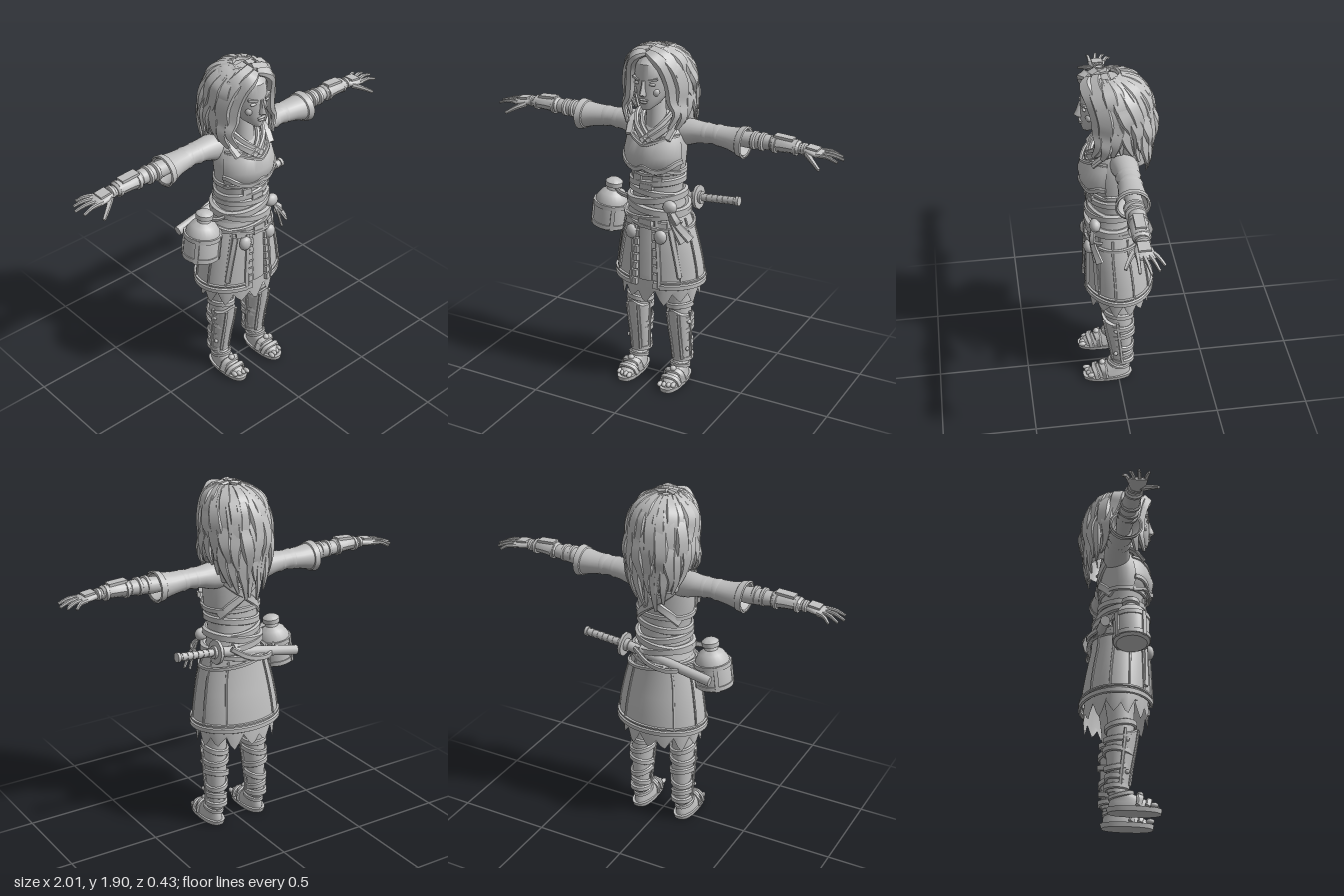
import * as THREE from 'three';
import { toCreasedNormals } from 'three/addons/utils/BufferGeometryUtils.js';

const stone = new THREE.MeshStandardMaterial({ color: 0xc0c0c0, side: THREE.DoubleSide });
stone.name = 'grey stone';
const V = (x, y, z) => new THREE.Vector3(x, y, z);
const TAU = Math.PI * 2;

// Joins rows of points into one creased surface
function skin(rows, crease = 0.7) {
  const n = rows[0].length, pos = [], idx = [];
  rows.forEach(r => r.forEach(p => pos.push(p.x, p.y, p.z)));
  for (let i = 0; i < rows.length - 1; i++) for (let j = 0; j < n - 1; j++) {
    const a = i * n + j, b = a + 1, c = a + n, d = c + 1;
    idx.push(a, b, d, a, d, c);
  }
  const g = new THREE.BufferGeometry();
  g.setAttribute('position', new THREE.Float32BufferAttribute(pos, 3));
  g.setIndex(idx);
  return toCreasedNormals(g, crease);
}
// A ring is [y, rx, rz, x, z]; angle 0 is the front
function ringPoint([y, rx, rz, x = 0, z = 0], a, p = 1, off = 0) {
  const f = v => Math.sign(v) * Math.abs(v) ** p;
  return V(x + (rx + off) * f(Math.sin(a)), y, z + (rz + off) * f(Math.cos(a)));
}
function loft(rings, { n = 24, a0 = 0, a1 = TAU, p = 1, cap = a1 - a0 > 6.2, fn } = {}) {
  const rows = rings.map((r, i) => Array.from({ length: n + 1 }, (_, j) => {
    const q = ringPoint(r, a0 + (a1 - a0) * j / n, p);
    if (fn) fn(q, i, j);
    return q;
  }));
  if (cap) {
    const mid = r => rows[0].map(() => V(r[3] || 0, r[0], r[4] || 0));
    rows.unshift(mid(rings[0]));
    rows.push(mid(rings[rings.length - 1]));
  }
  return skin(rows);
}
// Shell with thickness over part of a turn
const plate = (rings, a, t, fn) => loft([...rings,
  ...rings.map(([y, rx, rz, x, z]) => [y, rx - t, rz - t, x, z]).reverse(), rings[0]], { a0: -a, a1: a, n: 18, fn });
// Point on a lofted body at any angle and height
function on(rings, a, y, off = 0) {
  let i = 0;
  while (i < rings.length - 2 && y > rings[i + 1][0]) i++;
  const A = rings[i], B = rings[i + 1], t = THREE.MathUtils.clamp((y - A[0]) / (B[0] - A[0]), 0, 1);
  const r = [0, 1, 2, 3, 4].map(k => (A[k] || 0) * (1 - t) + (B[k] || 0) * t);
  r[0] = y;
  return ringPoint(r, a, 1, off);
}
// Flattened band along a path, lying on the body
function ribbon(pts, w, t, { scale = () => 1, cx = 0, cz = 0, up, steps = 0, closed = false } = {}) {
  const curve = new THREE.CatmullRomCurve3(pts, closed), N = steps || pts.length * 3;
  const rows = [];
  for (let i = 0; i <= N; i++) {
    const u = i / N, p = curve.getPoint(u), tan = curve.getTangent(u);
    const out = up ? up.clone() : V(p.x - cx, Math.max(0, p.y - 1.7) * 1.3, p.z - cz);
    const side = tan.clone().cross(out).normalize();
    out.crossVectors(side, tan).normalize();
    const k = scale(u);
    const row = [[1, 0], [.7, 1], [-.7, 1], [-1, 0], [-.7, -1], [.7, -1], [1, 0]].map(([s, o]) =>
      p.clone().addScaledVector(side, s * k * w / 2).addScaledVector(out, o * k * t / 2));
    if (!closed && i === 0) rows.push(row.map(() => p.clone()));
    rows.push(row);
    if (!closed && i === N) rows.push(row.map(() => p.clone()));
  }
  return skin(rows, 0.6);
}
// Belt round a body, tilted sideways and frontwards
const wrap = (rings, y, w, t, off = 0, tiltX = 0, tiltZ = 0, opt = {}) => ribbon(Array.from({ length: 24 }, (_, i) => {
  const a = i / 24 * TAU;
  return on(rings, a, y + tiltX * Math.sin(a) + tiltZ * Math.cos(a), off);
}), w, t, { closed: true, steps: 48, ...opt });

const TORSO = [[.96, .17, .14], [1.05, .145, .127, 0, .01], [1.12, .135, .115, 0, .015], [1.2, .143, .115, 0, .02],
  [1.28, .158, .12, 0, .025], [1.36, .163, .125, 0, .02], [1.43, .16, .115, 0, .01], [1.49, .13, .085, 0, -.01], [1.53, .06, .055, 0, 0]];
const BUST = [[1.25, .152, .13, 0, .03], [1.29, .168, .148, 0, .036], [1.34, .172, .155, 0, .036], [1.4, .162, .14, 0, .03], [1.44, .142, .115, 0, .03]];
const SKIRT = [[.6, .25, .185, 0, -.015], [.7, .24, .178, 0, -.012], [.8, .222, .168, 0, -.005], [.92, .195, .152, 0, .004], [1.01, .16, .14]];
const HAIR = [[1.3, .1, .04, 0, -.115], [1.42, .14, .07, 0, -.1], [1.52, .165, .12, 0, -.06], [1.62, .168, .145, 0, -.045],
  [1.72, .16, .15, 0, -.02], [1.8, .145, .145, 0, 0], [1.86, .1, .105, 0, .02], [1.88, .05, .06, 0, .04]];
const LEG = [[.1, .042, .046, .13, -.028], [.2, .046, .05, .128, -.025], [.33, .058, .068, .125, -.015], [.43, .06, .07, .124, -.005], [.5, .058, .068, .12, -.005], [.66, .075, .085, .11, -.01]];
const GUARD = [[.13, .054, .062, .13, -.024], [.25, .058, .072, .127, -.015], [.36, .065, .085, .125, -.005], [.43, .067, .09, .124, 0]];

export function createModel() {
  const model = new THREE.Group();
  model.name = 'swordswoman';
  const add = (name, geo, parent = model, x = 0, y = 0, z = 0, rx = 0, ry = 0, rz = 0) => {
    const m = new THREE.Mesh(geo, stone);
    m.name = name;
    m.position.set(x, y, z);
    m.rotation.set(rx, ry, rz);
    parent.add(m);
    return m;
  };
  const box = (w, h, d) => new THREE.BoxGeometry(w, h, d);
  const ball = (x, y, z) => new THREE.SphereGeometry(1, 14, 10).scale(x, y, z);

  // Head and face
  add('head', loft([[1.585, .022, .028, 0, .135], [1.61, .052, .07, 0, .1], [1.65, .074, .1, 0, .073], [1.7, .088, .115, 0, .058],
    [1.76, .096, .122, 0, .05], [1.82, .09, .12, 0, .045], [1.865, .06, .085, 0, .03]]));
  add('neck', new THREE.CylinderGeometry(.046, .058, .16, 16), model, 0, 1.54, .035);
  add('nose', loft([[1.662, .018, .014, 0, .175], [1.672, .017, .03, 0, .176], [1.7, .011, .02, 0, .173], [1.74, .009, .009, 0, .171]], { n: 8 }));
  add('upperLip', ball(.026, .006, .012), model, 0, 1.64, .17);
  add('lowerLip', ball(.021, .007, .012), model, 0, 1.628, .17);

  // Hair: inner mass, wavy locks and swept front locks
  add('hairMass', loft(HAIR.slice(1).map(([y, rx, rz, x, z]) => [y, rx * .95, rz * .95, x, z]), { a0: .75, a1: TAU - .75, n: 28 }));
  let seed = 7;
  const rnd = () => (seed = (seed * 16807) % 2147483647) / 2147483647;
  const taper = u => Math.min(1, .45 + u * 2.2) * (u > .65 ? 1 - (u - .65) * 2.3 : 1);
  for (let layer = 0; layer < 2; layer++) for (let i = 0; i < 15; i++) {
    const a = .92 + (TAU - 1.84) * i / 14, back = (1 - Math.cos(a)) / 2, ph = rnd() * 6;
    const end = 1.5 - .2 * Math.max(0, back - .45) / .55 + layer * .1 + rnd() * .05;
    const pts = Array.from({ length: 9 }, (_, k) => {
      const u = k / 8, y = 1.885 + (end - 1.885) * (u < .2 ? u * .45 : .09 + (u - .2) * 1.1375);
      return on(HAIR, a + (layer ? .1 : 0) + .09 * u * Math.sin(u * 9 + ph), y, .004 + .007 * Math.sin(u * 11 + ph) + layer * .006);
    });
    add('hairLock', ribbon(pts, .075, .034, { scale: taper }));
  }
  for (const s of [1, -1]) {
    const sweep = (w, t, ...p) => add('frontLock', ribbon(p.map(q => V(s * q[0], q[1], q[2])), w, t, { scale: u => taper(u) + .1 }));
    sweep(.07, .04, [.004, 1.875, .13], [.05, 1.862, .15], [.095, 1.8, .125], [.12, 1.71, .1], [.128, 1.63, .095], [.15, 1.57, .1], [.12, 1.49, .125]);
    sweep(.085, .04, [.004, 1.885, .09], [.07, 1.86, .105], [.13, 1.79, .08], [.155, 1.7, .06], [.15, 1.62, .06], [.168, 1.55, .065], [.14, 1.48, .08]);
    sweep(.08, .035, [.004, 1.888, .05], [.08, 1.86, .05], [.145, 1.78, .03], [.16, 1.68, .01], [.172, 1.58, .02], [.15, 1.5, .03]);
    add('brow', box(.05, .011, .016), model, s * .046, 1.745, .158, 0, s * .35, s * .22);
    add('eye', ball(.021, .008, .009), model, s * .042, 1.722, .158);
    add('cheek', ball(.022, .022, .018), model, s * .05, 1.678, .135);
  }

  // Torso with crossed collar and breastplate
  add('torso', loft(TORSO, { n: 32 }));
  for (const s of [1, -1]) for (let k = 0; k < 2; k++) {
    const o = k * .035;
    add('collar', ribbon([V(s * (.05 + o), 1.535, -.05), V(s * (.075 + o), 1.53, .02), V(s * (.05 + o), 1.48, .095), V(-s * (.03 - o), 1.41, .145)], .036, .022));
  }
  const neckline = (q, i) => { if (i === 4 || i === 5) q.y -= .035 * Math.max(0, 1 - Math.abs(q.x) / .08); };
  add('breastplate', plate(BUST, 1.35, .02, neckline));
  const across = (f, w, t, amax = 1.35) => ribbon(Array.from({ length: 13 }, (_, i) => {
    const a = amax * (i / 6 - 1);
    return on(BUST, a, f(Math.abs(a) / amax), .003);
  }), w, t);
  add('breastplateTopTrim', across(u => 1.4 + .04 * Math.min(1, u * 1.6), .018, .016));
  add('breastplateLowerTrim', across(u => 1.285 - .025 * Math.sin(u * 5), .03, .016));
  add('breastplateHem', across(u => 1.25 - .012 * Math.cos(u * 6), .022, .018));
  for (const s of [1, -1]) {
    add('shoulderStrap', ribbon([V(s * .11, 1.43, .125), V(s * .125, 1.49, .06), V(s * .12, 1.5, -.03), V(s * .1, 1.44, -.1)], .045, .018, { up: V(0, .8, .3) }));
    add('backStrap', ribbon(Array.from({ length: 8 }, (_, i) => on(TORSO, Math.PI - s * (.9 - i * .26), 1.44 - i * .032, .006)), .045, .016));
  }

  // Belts and sash
  [[1.245, .03, .016, .004, 0, 0], [1.18, .04, .02, .006, .015, 0], [1.12, .04, .026, .008, -.015, .01], [1.085, .045, .032, .01, .025, 0],
    [1.045, .045, .034, .01, -.022, -.01], [.99, .032, .02, .014, .02, 0], [.96, .022, .02, .02, -.03, -.01]].forEach(b => add('belt', wrap(TORSO, ...b)));
  for (const [x, y, w, h] of [[-.055, 1.2, .05, .045], [.055, 1.2, .05, .045], [0, 1.165, .07, .03], [0, .965, .075, .05], [-.1, .96, .05, .045], [.09, .95, .045, .05]])
    add('buckle', box(w, h, .028), model, x, y, .138 + (y < 1 ? .015 : 0) - Math.abs(x) * .25, 0, x * 4, 0);
  add('sashKnot', ball(.04, .036, .03), model, .125, 1.065, .12);
  [[.2, .88], [.24, .9], [.17, .97]].forEach(([x, y], i) => add('sashTail', ribbon([V(.125, 1.06, .125), V(.15 + i * .015, 1, .14), V(x, y, .12 - i * .01)], .045, .014, { scale: u => .6 + u * .5 })));

  // Skirt panels, ragged underskirt and trims
  const gap = .34;
  add('skirt', loft(SKIRT, { a0: gap, a1: TAU - gap, n: 48 }));
  add('underskirt', loft([[.515, .222, .168, 0, -.016], [.58, .23, .17, 0, -.015], [.8, .205, .152, 0, -.003], [1, .15, .13]],
    { n: 56, cap: false, fn: (q, i, j) => { if (!i) q.y += [-.015, .015, .05, .01][j % 4] + .012 * Math.sin(j % 56); } }));
  const hem = (y, w) => add('skirtHem', ribbon(Array.from({ length: 30 }, (_, i) => on(SKIRT, gap + (TAU - 2 * gap) * i / 29, y, .003)), w, .016));
  hem(.612, .032);
  hem(.64, .012);
  const seam = (a, y0, w, t) => add('skirtSeam', ribbon([0, 1, 2, 3, 4].map(k => on(SKIRT, a, y0 + (.98 - y0) * k / 4, .002)), w, t));
  for (const s of [1, -1]) {
    seam(s * gap, .61, .024, .018);
    [.85, 1.35, 1.9, 2.5].forEach(a => seam(s * a, .63, .012, .01));
    // Linked front straps
    for (let k = 0; k < 7; k++) {
      const p = on(SKIRT, s * .27, .62 + k * .046, -.002);
      add('strapLink', box(.032, .036, .02), model, p.x, p.y, p.z, -.06, s * .2, 0);
    }
    add('hipCord', ribbon([.94, .85, .76, .67].map((y, k) => on(SKIRT, s * (.72 + k * .03), y, .008)), .03, .016));
    add('pouch', ball(.035, .04, .028), model, s * .085, .9, .15);
  }
  add('frontCloth', ribbon([V(0, .96, .15), V(0, .8, .158), V(0, .64, .16)], .075, .014));

  // Legs, mirrored
  for (const s of [1, -1]) {
    const leg = new THREE.Group();
    leg.name = s > 0 ? 'leftLeg' : 'rightLeg';
    leg.scale.x = s;
    model.add(leg);
    add('leg', loft(LEG), leg);
    add('shinGuard', plate(GUARD, 1.5, .014, (q, i) => { if (i === 3 || i === 4) q.y += .02 * Math.cos((q.x - .124) * 45); }), leg);
    [-1.45, -.5, .5, 1.45].forEach(a => add('shinRib', ribbon([.135, .23, .33, .43].map(y => on(GUARD, a, y, .003)), .017, .012, { cx: .126 }), leg));
    [[.17, .01], [.24, -.012], [.31, .012], [.39, -.01]].forEach(([y, t]) =>
      add('legStrap', wrap(LEG, y, .034, .016, .006, t, -t, { cx: .126, cz: -.02 }), leg));
    add('kneeBand', wrap(LEG, .455, .035, .018, .005, .01, .012, { cx: .124, cz: 0 }), leg);
    for (const y of [.2, .37]) add('stud', ball(.01, .012, .012), leg, .19 - (.37 - y) * .04, y, .02);
    // Sandal
    add('sole', loft([[0, .056, .134, .132, .062], [.024, .06, .14, .132, .06]], { p: .8, n: 28 }), leg);
    const foot = [[.024, .052, .125, .132, .058], [.05, .05, .118, .132, .052], [.075, .044, .085, .131, .028], [.1, .042, .06, .13, -.008], [.14, .042, .048, .13, -.027]];
    add('foot', loft(foot), leg);
    for (let k = 0; k < 4; k++) add('toe', ball(.013, .014, .022), leg, .096 + k * .024, .038, .176 - k * .007);
    [[.13, .03], [.085, .04]].forEach(([z, w], i) => add('sandalStrap', ribbon(
      [V(.075, .025, z - .01), V(.092, .06 + i * .018, z), V(.132, .072 + i * .018, z + .008), V(.172, .06 + i * .018, z), V(.19, .025, z - .01)], w, .016, { up: V(0, 1, .4) }), leg));
    add('toeKnot', ball(.018, .016, .018), leg, .132, .1, .09);
    add('ankleStrap', wrap(foot, .09, .024, .014, .005, 0, .015, { cx: .13, cz: -.01 }), leg);
    add('ankleCuff', wrap(LEG, .13, .032, .02, .008, 0, 0, { cx: .13, cz: -.026 }), leg);
  }

  // Arms, mirrored: ring is [x, ry, rz, -y, z] before turning sideways
  for (const s of [1, -1]) {
    const arm = new THREE.Group();
    arm.name = s > 0 ? 'leftArm' : 'rightArm';
    arm.scale.x = s;
    model.add(arm);
    const tube = (name, rings, opt) => add(name, loft(rings.map(([x, ry, rz, y, z]) => [x, ry, rz, -y, z]), opt).rotateZ(-Math.PI / 2), arm);
    tube('sleeve', [[.08, .07, .07, 1.43, -.02], [.17, .068, .07, 1.44, -.03], [.22, .056, .063, 1.445, -.033], [.3, .05, .058, 1.448, -.032],
      [.39, .058, .067, 1.442, -.03], [.45, .07, .078, 1.437, -.025], [.48, .077, .083, 1.436, -.022], [.478, .067, .073, 1.436, -.022], [.4, .045, .05, 1.445, -.028]]);
    tube('sleeveCuff', [[.445, .068, .075, 1.437, -.025], [.45, .076, .083, 1.437, -.025], [.482, .083, .088, 1.436, -.022], [.486, .074, .08, 1.436, -.022]], { cap: false });
    for (const x of [.26, .33]) tube('sleeveFold', [[x - .03, .05, .055, 1.448, -.032], [x, .056, .064, 1.446, -.032], [x + .025, .05, .055, 1.446, -.032]]);
    tube('forearm', [[.4, .036, .038, 1.45, -.028], [.5, .043, .046, 1.453, -.028], [.58, .04, .043, 1.457, -.026], [.7, .031, .034, 1.46, -.022], [.81, .022, .03, 1.455, -.018]]);
    tube('bracer', [[.62, .036, .04, 1.46, -.022], [.63, .043, .05, 1.46, -.022], [.69, .038, .045, 1.462, -.02], [.765, .034, .043, 1.462, -.018], [.775, .027, .036, 1.46, -.018]], { n: 10 });
    for (const x of [.53, .575, .645, .755, .795]) {
      const r = x > .78 ? .028 : x > .7 ? .038 : x > .6 ? .044 : .045;
      tube('armStrap', [[x - .012, r - .006, r, 1.458, -.021], [x - .007, r + .002, r + .008, 1.458, -.021], [x + .007, r + .002, r + .008, 1.458, -.021], [x + .012, r - .006, r, 1.458, -.021]]);
    }
    add('bracerPlate', box(.1, .014, .05), arm, .69, 1.5, -.02, 0, 0, -.06);
    // Hand with spread fingers
    tube('palm', [[.8, .02, .028, 1.455, -.016], [.84, .02, .044, 1.452, -.016], [.89, .015, .05, 1.447, -.02], [.905, .008, .042, 1.445, -.02]]);
    add('handGuard', box(.06, .01, .06), arm, .845, 1.473, -.018, 0, 0, -.12);
    [[-.058, .945, -.1], [-.033, .98, -.07], [-.008, 1, -.03], [.018, .985, .022]].forEach(([z, x, tz]) =>
      add('finger', ribbon([V(.87, 1.45, z), V((.88 + x) / 2, 1.45, (z + tz) / 2), V(x, 1.432, tz)], .022, .02, { up: V(0, 1, 0), scale: u => 1 - .4 * u })));
    arm.add(...model.children.filter(c => c.name === 'finger'));
    add('thumb', ribbon([V(.82, 1.447, .01), V(.86, 1.43, .045), V(.912, 1.4, .078)], .028, .024, { up: V(0, 1, 0), scale: u => 1.1 - .5 * u }), arm);
  }

  // Flask on the right hip
  const flask = new THREE.Group();
  flask.name = 'flask';
  flask.position.set(-.292, .85, .03);
  flask.rotation.z = -.13;
  model.add(flask);
  const prof = [[0, 0], [.08, 0], [.094, .012], [.094, .13], [.088, .165], [.066, .2], [.036, .218], [.032, .232], [.046, .238], [.046, .262], [.03, .275], [0, .278]];
  add('flaskBody', toCreasedNormals(new THREE.LatheGeometry(prof.map(p => new THREE.Vector2(...p)), 24), .6), flask);
  for (const y of [.025, .14]) add('flaskBand', new THREE.CylinderGeometry(.1, .1, .024, 24), flask, 0, y, 0);
  for (let k = 0; k < 4; k++) add('flaskStrap', box(.022, .14, .014), flask, Math.sin(k * 1.57 + .6) * .096, .08, Math.cos(k * 1.57 + .6) * .096, 0, k * 1.57 + .6, 0);
  add('flaskCord', ribbon([V(-.255, 1.08, .04), V(-.2, 1.06, .06), V(-.14, 1.05, .06)], .03, .014));

  // Sword: scabbard behind the waist, hilt on the left
  const sword = new THREE.Group();
  sword.name = 'sword';
  sword.position.set(.175, 1.05, -.11);
  sword.rotation.z = .09;
  model.add(sword);
  const rod = (name, r, x0, x1, n = 12) => add(name, new THREE.CylinderGeometry(r, r, x1 - x0, n), sword, (x0 + x1) / 2, 0, 0, 0, 0, Math.PI / 2);
  rod('guard', .066, -.008, .008, 10);
  rod('guardCollar', .034, -.03, .022);
  rod('grip', .019, .01, .23);
  for (let k = 0; k < 6; k++) rod('gripWrap', .023, .035 + k * .031, .055 + k * .031, 8);
  rod('pommel', .026, .222, .238);
  const scabbard = rod('scabbard', .025, -.51, -.01);
  scabbard.scale.x = 1.1;
  scabbard.rotation.z += .1;
  scabbard.position.y -= .025;
  rod('scabbardRing', .033, -.13, -.1);
  add('scabbardCord', ribbon([V(.1, 1.06, -.14), V(0, 1, -.165), V(-.12, .98, -.15), V(-.21, 1, -.07)], .03, .016));
  return model;
}
